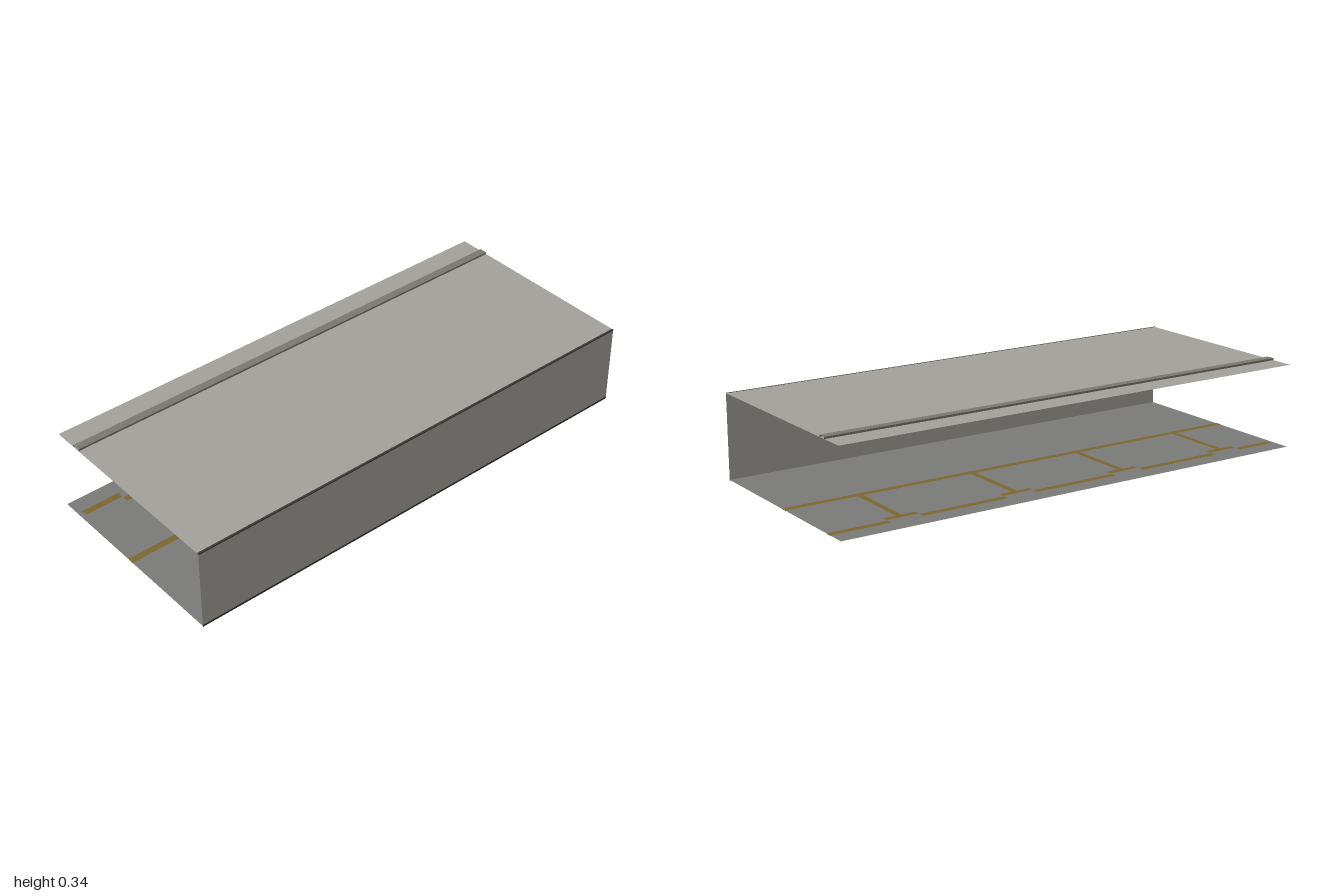
import * as THREE from 'three';

const material = (name, color) => {
  const m = new THREE.MeshStandardMaterial({ color, side: THREE.DoubleSide });
  m.name = name;
  return m;
};

export function createModel() {
  const group = new THREE.Group();
  const concrete = material('lightConcrete', 0xa2a09b);
  const asphalt = material('floorGrey', 0x7a7a78);
  const paint = material('ochrePaint', 0x7c6732);
  const railGrey = material('railGrey', 0x797970);
  const dark = material('darkTrim', 0x3c3b38);

  // Sheet swept along z from an open [x, y] profile, with hard corners
  function sheet(name, mat, profile, z0 = -1, z1 = 1) {
    const pos = [];
    for (let i = 0; i < profile.length - 1; i++) {
      const [ax, ay] = profile[i], [bx, by] = profile[i + 1];
      pos.push(ax, ay, z0, ax, ay, z1, bx, by, z1, ax, ay, z0, bx, by, z1, bx, by, z0);
    }
    const geo = new THREE.BufferGeometry();
    geo.setAttribute('position', new THREE.Float32BufferAttribute(pos, 3));
    geo.computeVertexNormals();
    const mesh = new THREE.Mesh(geo, mat);
    mesh.name = name;
    group.add(mesh);
  }

  const W = 0.42, FLOOR = 0.002, ROOF = 0.333;

  // Shell: floor, side wall and roof, open on the other sides
  sheet('floor', asphalt, [[-W, FLOOR], [W, FLOOR]]);
  sheet('sideWall', concrete, [[W, ROOF], [W, FLOOR]]);
  sheet('roof', concrete, [[-W, ROOF], [W, ROOF]]);

  // Raised rail along the open side of the roof
  sheet('roofRail', railGrey, [[-0.324, ROOF], [-0.324, 0.341], [-0.291, 0.341], [-0.291, ROOF]]);

  // Thin trim on the roof corner and along the wall base
  sheet('cornerTrim', dark, [[W - 0.007, ROOF + 0.001], [W + 0.001, ROOF + 0.001], [W + 0.001, ROOF - 0.004]]);
  sheet('baseTrim', dark, [[W + 0.001, 0.009], [W + 0.001, 0]]);

  // Floor markings, on both faces of the floor sheet
  function marking(name, x0, x1, z0, z1) {
    for (const y of [FLOOR + 0.0015, FLOOR - 0.0015]) sheet(name, paint, [[x0, y], [x1, y]], z0, z1);
  }
  marking('longLine', -0.025, 0.003, -1, 1);
  const bays = [-0.7, -0.215, 0.27, 0.755];
  for (const z of bays) {
    marking('bayLine', -0.3, -0.02, z - 0.012, z + 0.012);
    marking('bayCap', -0.317, -0.292, z - 0.065, z + 0.065);
  }
  // Dashes between the bay caps
  const stops = [-1.065, ...bays, 1.0];
  for (let i = 0; i < stops.length - 1; i++) {
    const end = i === stops.length - 2 ? 0.98 : stops[i + 1] - 0.065;
    marking('edgeDash', -0.35, -0.323, stops[i] + 0.065, end);
  }
  return group;
}
